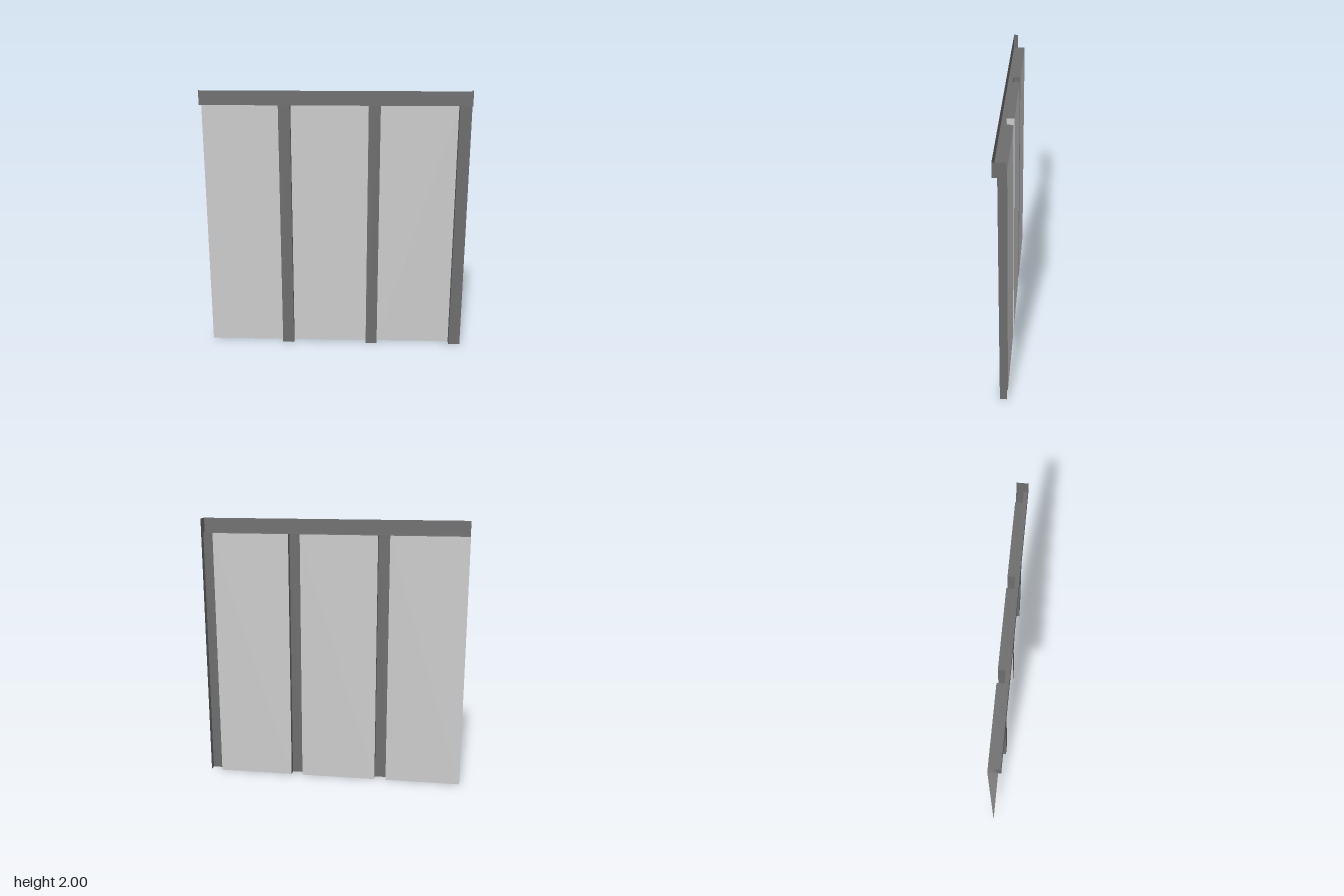
import * as THREE from 'three';

const light = new THREE.MeshStandardMaterial({ color: 0xcccccc, side: THREE.DoubleSide });
const dark = new THREE.MeshStandardMaterial({ color: 0x6d6d6d, side: THREE.DoubleSide });

const X0 = -0.987, X1 = 0.987;            // wall ends
const BACK = -0.042, RIB = 0.01, FRONT = 0.042; // sheet depths
const RAIL = 1.895, TOP = 2;              // rail heights
const ribs = [[-0.418, -0.331], [0.242, 0.329], [0.9, X1]];

export function createModel() {
  const group = new THREE.Group();

  const add = (name, geometry, material) => {
    const mesh = new THREE.Mesh(geometry, material);
    mesh.name = name;
    group.add(mesh);
    return mesh;
  };
  // sheet facing z
  const sheet = (name, x0, x1, y0, y1, z, material) =>
    add(name, new THREE.PlaneGeometry(x1 - x0, y1 - y0), material)
      .position.set((x0 + x1) / 2, (y0 + y1) / 2, z);
  // sheet facing x
  const side = (name, x, y0, y1, z0, z1, material) =>
    add(name, new THREE.PlaneGeometry(z1 - z0, y1 - y0).rotateY(Math.PI / 2), material)
      .position.set(x, (y0 + y1) / 2, (z0 + z1) / 2);

  // Panels with forward-folded channel ribs between them
  let start = X0;
  ribs.forEach(([a, b], i) => {
    sheet('panel', start, a, 0, RAIL, BACK, light);
    sheet('ribFront', a, b, 0, RAIL, RIB, dark);
    side('ribSide', a, 0, RAIL, BACK, RIB, i === 1 ? light : dark);
    side('ribSide', b, 0, RAIL, BACK, RIB, dark);
    start = b;
  });

  // Top rail: front face, end caps and a ledge notched over the open ribs
  sheet('railFront', X0, X1, RAIL, TOP, FRONT, dark);
  side('railEndRight', X0, RAIL, TOP, RIB, FRONT, dark);
  side('railEndLeft', X1, RAIL, TOP, BACK, FRONT, dark);

  const outline = [[X0, FRONT], [X0, BACK]];
  ribs.forEach(([a, b], i) => {
    outline.push([a, BACK], [a, RIB], [b, RIB]);
    if (i < ribs.length - 1) outline.push([b, BACK]);
  });
  outline.push([X1, FRONT]);
  const shape = new THREE.Shape(outline.map(([x, z]) => new THREE.Vector2(x, z)));
  add('railLedge', new THREE.ShapeGeometry(shape).rotateX(Math.PI / 2), dark).position.y = RAIL;

  return group;
}
